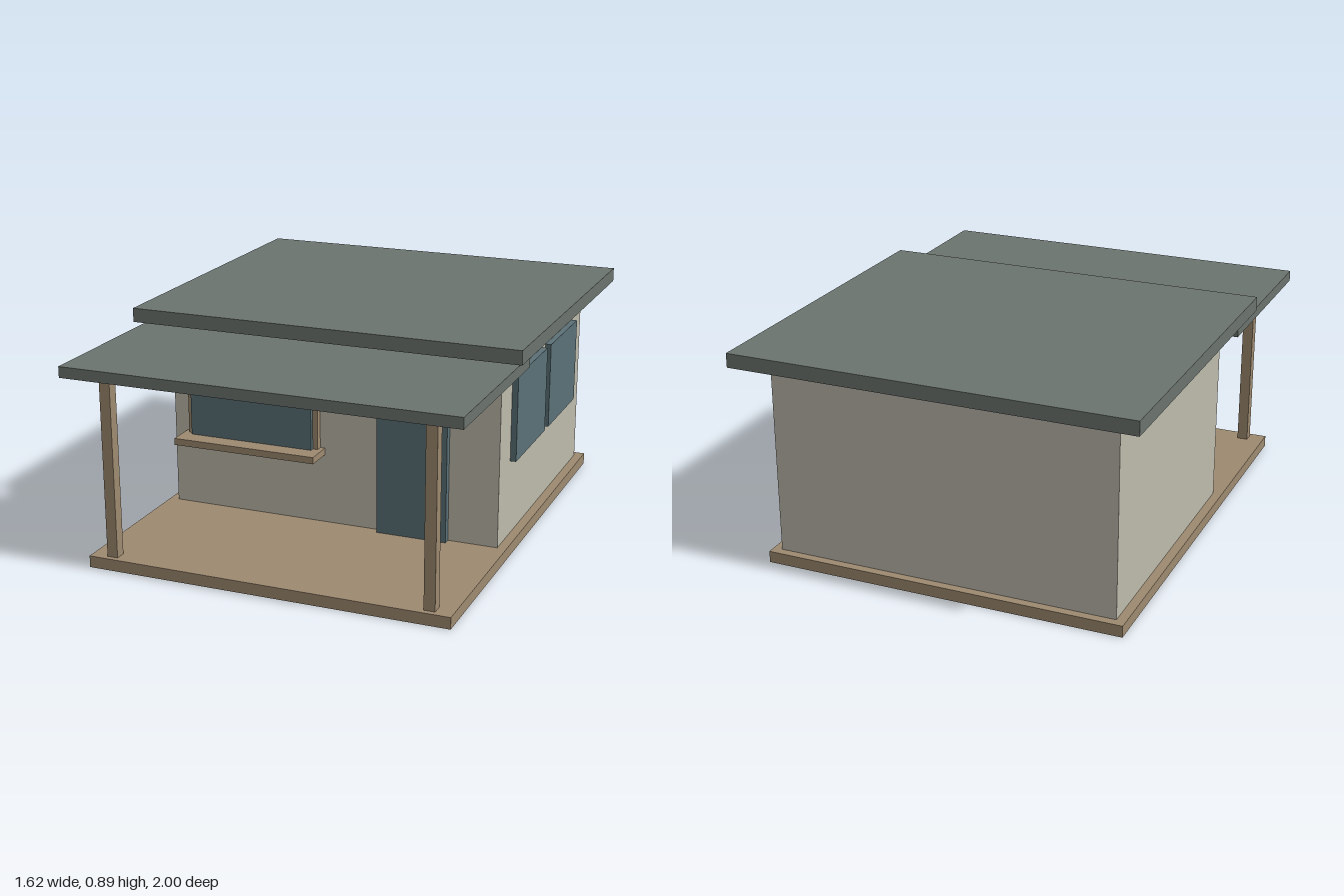
import * as THREE from 'three';

export function createModel() {
  const house = new THREE.Group();
  house.name = 'cabin';

  const paint = (color) => new THREE.MeshStandardMaterial({ color });
  const roofGrey = paint(0x6c746f);
  const plaster = paint(0xbebaac);
  const wood = paint(0x9e8a70);
  const glass = paint(0x5b7177);

  // Box given by its extents along each axis
  function block(name, material, [x0, x1], [y0, y1], [z0, z1]) {
    const mesh = new THREE.Mesh(new THREE.BoxGeometry(x1 - x0, y1 - y0, z1 - z0), material);
    mesh.position.set((x0 + x1) / 2, (y0 + y1) / 2, (z0 + z1) / 2);
    mesh.name = name;
    house.add(mesh);
  }

  // Deck and walls
  block('deck', wood, [-0.737, 0.737], [0, 0.047], [-0.915, 0.94]);
  block('walls', plaster, [-0.7, 0.7], [0.047, 0.837], [-0.88, 0.275]);

  // Main roof and the lower porch roof
  block('mainRoof', roofGrey, [-0.812, 0.812], [0.837, 0.894], [-1, 0.395]);
  block('porchRoof', roofGrey, [-0.79, 0.79], [0.778, 0.822], [0.215, 1]);

  // Porch posts
  for (const [name, x] of [['rightPost', -0.648], ['leftPost', 0.648]]) {
    block(name, wood, [x - 0.022, x + 0.022], [0.047, 0.778], [0.873, 0.918]);
  }

  // Front door
  block('door', glass, [0.204, 0.496], [0.047, 0.69], [0.27, 0.305]);

  // Serving window with frame and counter
  block('windowFrame', wood, [-0.625, -0.05], [0.33, 0.715], [0.27, 0.302]);
  block('frontWindow', glass, [-0.604, -0.071], [0.36, 0.686], [0.28, 0.32]);
  block('counter', wood, [-0.645, -0.03], [0.335, 0.363], [0.275, 0.395]);

  // Pair of windows on the left wall
  for (const [name, z] of [['sideWindowFront', -0.07], ['sideWindowBack', -0.53]]) {
    block(name, glass, [0.698, 0.724], [0.36, 0.715], [z - 0.204, z + 0.204]);
  }

  return house;
}
